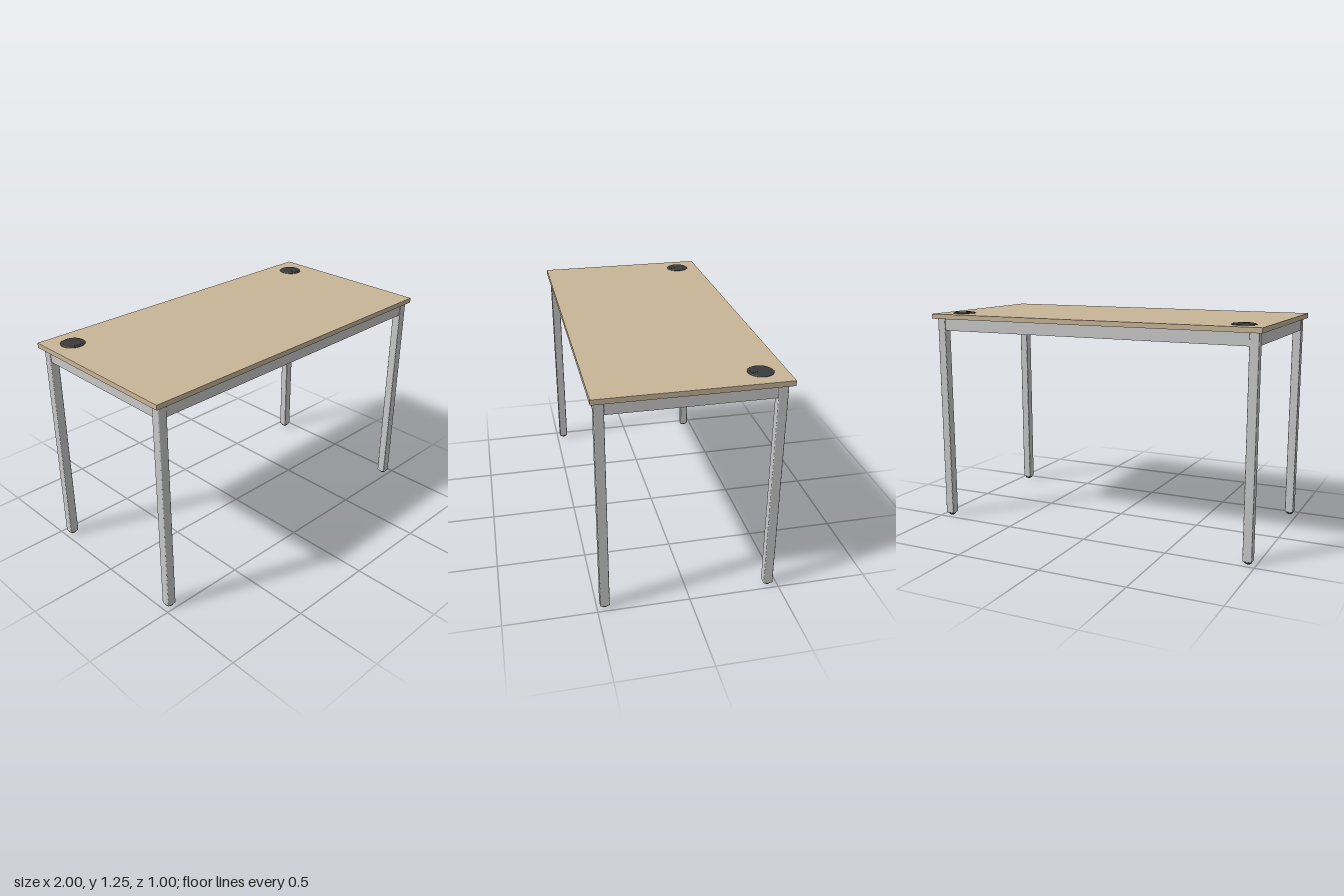
import * as THREE from 'three';

const wood = new THREE.MeshStandardMaterial({ color: 0xc8b698 });
wood.name = 'light wood';
const steel = new THREE.MeshStandardMaterial({ color: 0xcacaca });
steel.name = 'silver steel';
const plastic = new THREE.MeshStandardMaterial({ color: 0x3a3a3a });
plastic.name = 'dark plastic';

const TOP_UNDER = 1.218, TOP = 1.246;
const LEG_X = 0.952, LEG_Z = 0.453, LEG = 0.051, LEG_BASE = 0.015, Z_SHIFT = 0.004;
const RAIL_H = 0.07, RAIL_T = 0.036;

export function createModel() {
  const desk = new THREE.Group();
  desk.name = 'desk';

  const add = (name, geometry, material, x, y, z, parent = desk) => {
    const mesh = new THREE.Mesh(geometry, material);
    mesh.name = name;
    mesh.position.set(x, y, z);
    parent.add(mesh);
    return mesh;
  };

  // Worktop
  add('worktop', new THREE.BoxGeometry(2, TOP - TOP_UNDER, 1), wood, 0, (TOP + TOP_UNDER) / 2, 0);

  // Square tube with small rounded corners, extruded upward
  const h = LEG / 2, r = 0.005;
  const section = new THREE.Shape();
  section.absarc(h - r, h - r, r, 0, Math.PI / 2);
  section.absarc(-h + r, h - r, r, Math.PI / 2, Math.PI);
  section.absarc(-h + r, -h + r, r, Math.PI, Math.PI * 1.5);
  section.absarc(h - r, -h + r, r, Math.PI * 1.5, Math.PI * 2);
  const legGeometry = new THREE.ExtrudeGeometry(section, {
    depth: TOP_UNDER - LEG_BASE, bevelEnabled: false, curveSegments: 3,
  });
  legGeometry.rotateX(-Math.PI / 2);

  // Foot: short plug with a tapered base
  const footGeometry = new THREE.LatheGeometry([
    [0, 0], [0.014, 0], [0.021, 0.005], [0.022, 0.016], [0, 0.016],
  ].map(([x, y]) => new THREE.Vector2(x, y)), 20);

  const plateGeometry = new THREE.BoxGeometry(0.118, RAIL_H - 0.004, 0.006);
  const boltGeometry = new THREE.CylinderGeometry(0.009, 0.009, 0.008, 12);
  boltGeometry.rotateX(Math.PI / 2);
  const railY = TOP_UNDER - RAIL_H / 2;

  for (const sx of [-1, 1]) {
    for (const sz of [-1, 1]) {
      const corner = (sz > 0 ? 'front' : 'back') + (sx > 0 ? 'Left' : 'Right');
      const x = sx * LEG_X, z = sz * LEG_Z + Z_SHIFT;
      add(corner + 'Leg', legGeometry, steel, x, LEG_BASE, z);
      add(corner + 'Foot', footGeometry, plastic, x, 0, z);

      // Diagonal corner bracket with two bolts, facing the middle of the frame
      const bracket = new THREE.Group();
      bracket.name = corner + 'Bracket';
      bracket.position.set(x - sx * 0.06, railY, z - sz * 0.06);
      bracket.rotation.y = Math.atan2(-sx, -sz);
      desk.add(bracket);
      add('bracketPlate', plateGeometry, steel, 0, 0, 0, bracket);
      for (const y of [-0.016, 0.016]) add('bolt', boltGeometry, plastic, 0, y, 0.005, bracket);
    }
  }

  // Rails between the legs
  const longRail = new THREE.BoxGeometry(2 * LEG_X - LEG, RAIL_H, RAIL_T);
  const sideRail = new THREE.BoxGeometry(RAIL_T, RAIL_H, 2 * LEG_Z - LEG);
  for (const s of [-1, 1]) {
    add(s > 0 ? 'frontRail' : 'backRail', longRail, steel, 0, railY, s * (LEG_Z + 0.003) + Z_SHIFT);
    add(s > 0 ? 'leftRail' : 'rightRail', sideRail, steel, s * (LEG_X + 0.003), railY, Z_SHIFT);
  }

  // Cable port lids with a sleeve through the worktop and a pull-out flap
  const lidGeometry = new THREE.LatheGeometry([
    [0.067, 0], [0.067, 0.002], [0.06, 0.006], [0, 0.006],
  ].map(([x, y]) => new THREE.Vector2(x, y)), 40);
  const flapShape = new THREE.Shape([
    [-0.026, -0.055], [-0.012, -0.02], [0.012, -0.02], [0.026, -0.055],
  ].map(([x, y]) => new THREE.Vector2(x, y)));
  const flapGeometry = new THREE.ExtrudeGeometry(flapShape, { depth: 0.001, bevelEnabled: false });
  flapGeometry.rotateX(-Math.PI / 2);
  const sleeveGeometry = new THREE.CylinderGeometry(0.055, 0.055, 0.04, 40);
  for (const x of [-0.866, 0.862]) {
    const port = new THREE.Group();
    port.name = x > 0 ? 'leftCablePort' : 'rightCablePort';
    port.position.set(x, TOP, -0.365);
    desk.add(port);
    add('lid', lidGeometry, plastic, 0, 0, 0, port);
    add('flap', flapGeometry, plastic, 0, 0.006, 0, port);
    add('sleeve', sleeveGeometry, plastic, 0, -0.021, 0, port);
  }

  return desk;
}
